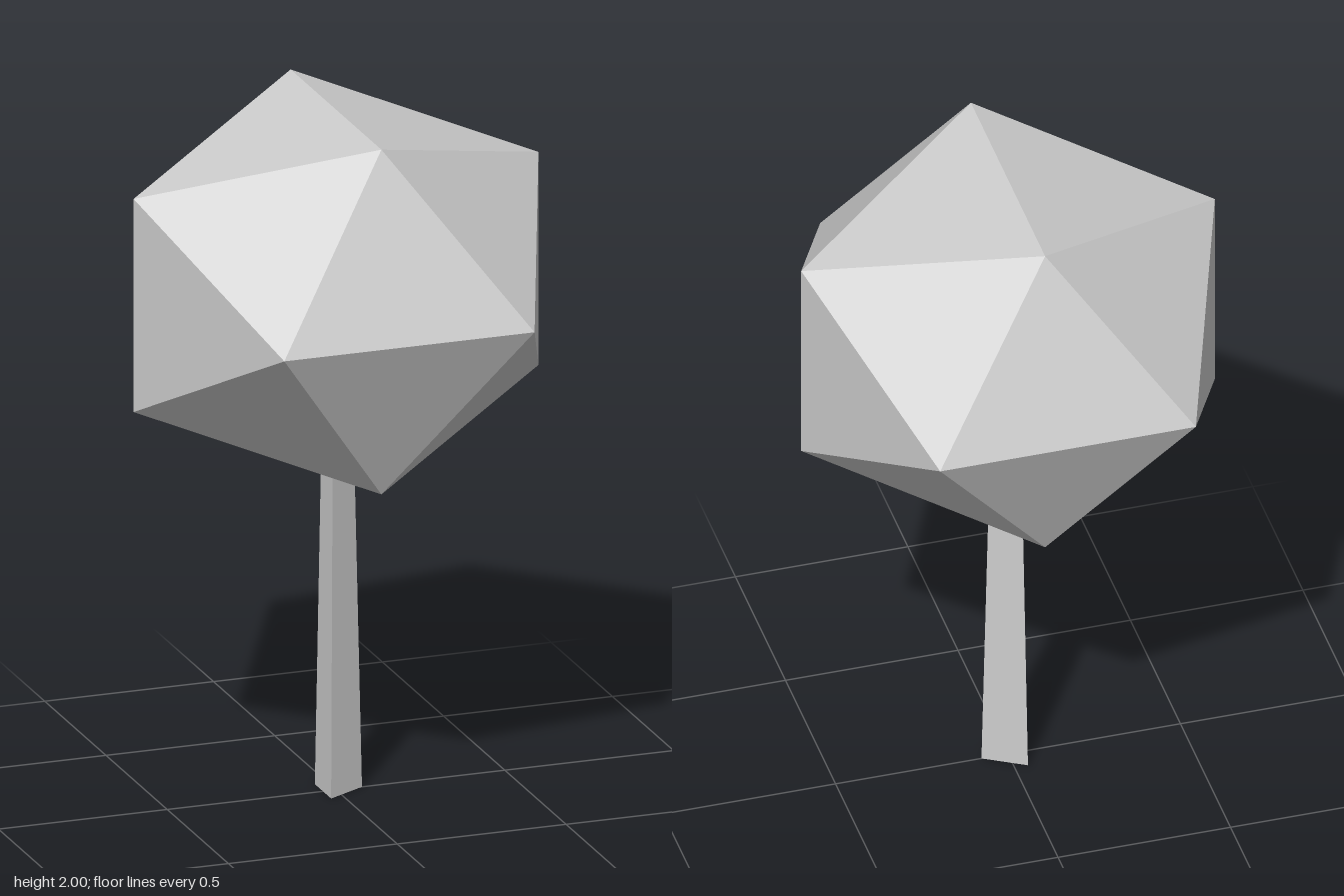
import * as THREE from 'three';

export function createModel() {
  const model = new THREE.Group();
  model.name = 'lowPolyTree';

  const grey = new THREE.MeshStandardMaterial({ color: 0xcccccc, flatShading: true, side: THREE.DoubleSide });
  grey.name = 'light grey';

  // Crown: slightly flattened icosahedron, ridge running front to back
  const crownGeometry = new THREE.IcosahedronGeometry(0.705, 0);
  crownGeometry.rotateY(Math.PI / 2);
  crownGeometry.scale(1, 0.845, 1);
  crownGeometry.computeVertexNormals();
  const crown = new THREE.Mesh(crownGeometry, grey);
  crown.name = 'crown';
  crown.position.y = 1.493;
  model.add(crown);

  // Trunk: open, tapered three-sided tube with one edge towards +x
  const trunkGeometry = new THREE.CylinderGeometry(0.055, 0.077, 0.94, 3, 1, true);
  trunkGeometry.rotateY(Math.PI / 2);
  const trunk = new THREE.Mesh(trunkGeometry, grey);
  trunk.name = 'trunk';
  trunk.position.y = 0.47;
  model.add(trunk);

  return model;
}
